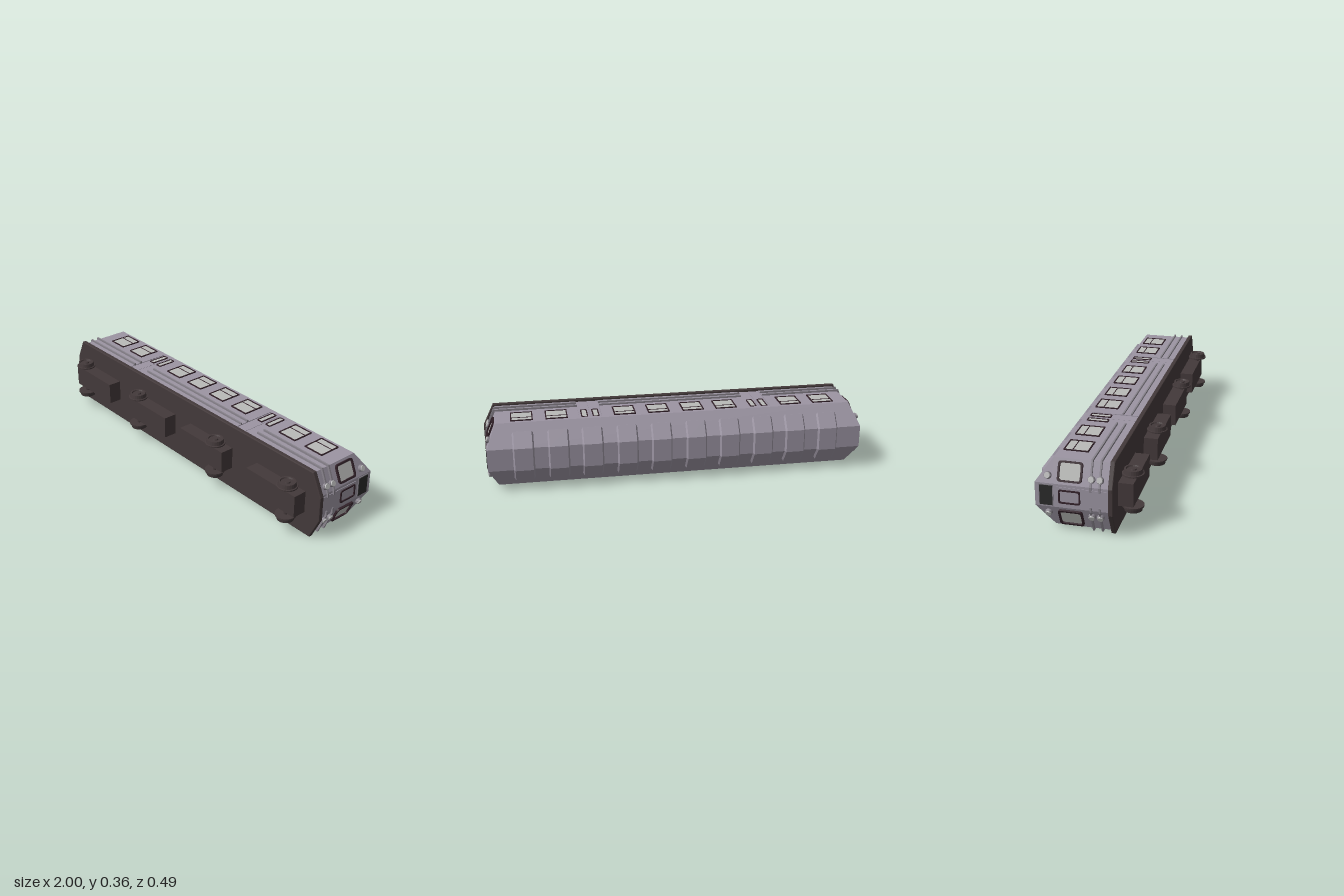
import * as THREE from 'three';

const mat = (color, side = THREE.FrontSide) => new THREE.MeshStandardMaterial({ color, side });
const BODY = mat(0x9c95a3), RIB = mat(0x88838c), DARK = mat(0x43393a), FRAME = mat(0x33222a),
  GLASS = mat(0xb9bab8), SIGN = mat(0x2b2b2b), LAMP = mat(0xb8b8b8);

// Key sizes: x is length, y is height, z is width (the car is laid on its side at the end)
const X1 = 0.982, X2 = 0.935, Z1 = 0.058, Z2 = 0.169;
const DOOR_X = 0.448, DOOR_W = 0.118, FLOOR = -0.113, DOOR_TOP = 0.13, EAVE = 0.152, TOP = 0.232;
const BAYS = [0.091, 0.269, 0.448, 0.622, 0.8];

function add(parent, name, geometry, material, x = 0, y = 0, z = 0) {
  const mesh = new THREE.Mesh(geometry, material);
  mesh.name = name;
  mesh.position.set(x, y, z);
  parent.add(mesh);
  return mesh;
}

const box = (w, h, d) => new THREE.BoxGeometry(w, h, d);

// Plan outline of [x, z] points extruded from height y0 to y1
function slab(points, y0, y1, bevel = 0) {
  const shape = new THREE.Shape(points.map(([x, z]) => new THREE.Vector2(x, -z)));
  return new THREE.ExtrudeGeometry(shape, {
    depth: y1 - y0 - 2 * bevel, bevelEnabled: bevel > 0, bevelSize: bevel,
    bevelThickness: bevel, bevelOffset: -bevel, bevelSegments: 2,
  }).rotateX(-Math.PI / 2).translate(0, y0 + bevel, 0);
}

const octagon = (x1, x2, z1, z2) => [[x1, -z1], [x1, z1], [x2, z2], [-x2, z2],
  [-x1, z1], [-x1, -z1], [-x2, -z2], [x2, -z2]];

function roundRect(path, w, h, r) {
  const x = w / 2, y = h / 2;
  path.moveTo(-x + r, -y);
  path.lineTo(x - r, -y).quadraticCurveTo(x, -y, x, -y + r);
  path.lineTo(x, y - r).quadraticCurveTo(x, y, x - r, y);
  path.lineTo(-x + r, y).quadraticCurveTo(-x, y, -x, y - r);
  path.lineTo(-x, -y + r).quadraticCurveTo(-x, -y, -x + r, -y);
  return path;
}

// Framed window lying on a wall, facing the panel's +z
function windowOn(panel, name, x, y, w, h, border, radius, depth, frameMat = FRAME) {
  const shape = roundRect(new THREE.Shape(), w, h, radius);
  shape.holes.push(roundRect(new THREE.Path(), w - 2 * border, h - 2 * border, radius * 0.7));
  add(panel, name + 'Frame', new THREE.ExtrudeGeometry(shape, { depth, bevelEnabled: false, curveSegments: 4 }),
    frameMat, x, y, 0);
  add(panel, name + 'Glass', box(w - border, h - border, 0.004), GLASS, x, y, 0);
}

// Group whose +z points out of a wall
function wallPanel(parent, name, x, z, angle) {
  const g = new THREE.Group();
  g.name = name;
  g.position.set(x, 0, z);
  g.rotation.y = angle;
  parent.add(g);
  return g;
}

function lamp(panel, x, y) {
  const rim = add(panel, 'lampRim', new THREE.CylinderGeometry(0.016, 0.018, 0.014, 16), RIB, x, y, 0.005);
  const lens = add(panel, 'lampLens', new THREE.CylinderGeometry(0.013, 0.015, 0.006, 16), LAMP, x, y, 0.014);
  rim.rotation.x = lens.rotation.x = Math.PI / 2;
}

function buildShell(car) {
  // Lower walls with a notch per doorway; one doorway stands open
  const a = DOOR_W / 2, notch = (x, z, inner, dir) =>
    [[x + dir * a, z], [x + dir * a, inner], [x - dir * a, inner], [x - dir * a, z]];
  const plan = [[X1, -Z1], [X1, Z1], [X2, Z2],
    ...notch(DOOR_X, Z2, 0.16, 1), ...notch(-DOOR_X, Z2, 0.16, 1),
    [-X2, Z2], [-X1, Z1], [-X1, -Z1], [-X2, -Z2],
    ...notch(-DOOR_X, -Z2, 0.12, -1), ...notch(DOOR_X, -Z2, -0.16, -1), [X2, -Z2]];
  add(car, 'walls', slab(plan, FLOOR, DOOR_TOP), BODY);
  add(car, 'eaves', slab(octagon(X1, X2, Z1, Z2), DOOR_TOP, EAVE), BODY);
  add(car, 'floorPlate', slab(octagon(1, 0.945, 0.065, 0.18), -0.136, FLOOR, 0.004), DARK);

  // Faceted roof, its ends following the bevelled plan
  const poly = (pts) => new THREE.Shape(pts.map((p) => new THREE.Vector2(...p)));
  const roof = new THREE.ExtrudeGeometry([
    poly([[-Z2, EAVE], [-Z1, EAVE], [-Z1, TOP]]),
    poly([[-Z1, EAVE], [Z1, EAVE], [Z1, TOP], [-Z1, TOP]]),
    poly([[Z1, EAVE], [Z2, EAVE], [Z1, TOP]]),
  ], { depth: 2, bevelEnabled: false }).translate(0, 0, -1).rotateY(Math.PI / 2);
  const p = roof.attributes.position;
  for (let i = 0; i < p.count; i++) {
    p.setX(i, Math.sign(p.getX(i)) * (Math.abs(p.getZ(i)) > 0.1 ? X2 : X1));
  }
  roof.computeVertexNormals();
  add(car, 'roof', roof, BODY);

  // Raised roof panels, one above each bay
  const hump = poly([[-0.125, 0.165], [0.125, 0.165], [0.133, 0.19], [0.06, 0.243], [-0.06, 0.243], [-0.133, 0.19]]);
  const humpGeo = new THREE.ExtrudeGeometry(hump, {
    depth: 0.092, bevelSize: 0.01, bevelOffset: -0.01, bevelThickness: 0.008, bevelSegments: 1,
  }).translate(0, 0, -0.046).rotateY(Math.PI / 2);
  for (const x of BAYS) for (const s of [-1, 1]) add(car, 'roofPanel', humpGeo, BODY, s * x);
}

function buildSides(car) {
  for (const sz of [-1, 1]) {
    const side = wallPanel(car, 'side', 0, sz * Z2, sz > 0 ? 0 : Math.PI);
    for (const x of BAYS) for (const sx of [-1, 1]) {
      if (x !== DOOR_X) {
        windowOn(side, 'sideWindow', sx * x, 0.073, 0.114, 0.12, 0.006, 0.004, 0.005);
        add(side, 'windowSash', box(0.104, 0.004, 0.004), FRAME, sx * x, 0.09, 0.002);
      } else if (sz > 0 || sx < 0) {
        // Double sliding door in its recess
        const door = new THREE.Group();
        door.name = 'door';
        door.position.set(sx * x, 0, -0.007);
        side.add(door);
        for (const s of [-1, 1]) {
          add(door, 'doorLeaf', box(0.057, DOOR_TOP - FLOOR, 0.008), BODY, s * 0.0295, (DOOR_TOP + FLOOR) / 2, 0);
          windowOn(wallPanel(door, 'doorWindow', s * 0.0295, 0.004, 0), 'doorWindow', 0, 0.075, 0.035, 0.108, 0.006, 0.008, 0.004);
        }
      }
    }
    // Rub rails, broken at the doors and wrapped round the corners
    const xs = DOOR_X + DOOR_W / 2, xi = DOOR_X - DOOR_W / 2;
    for (const y of [-0.072, -0.03]) {
      add(car, 'middleRail', slab([[-xi, sz * 0.165], [xi, sz * 0.165], [xi, sz * 0.178], [-xi, sz * 0.178]], y - 0.004, y + 0.004), RIB);
      for (const sx of [-1, 1]) {
        const rail = [[xs, 0.165], [0.93, 0.165], [0.978, 0.056], [0.978, 0.038],
          [0.991, 0.038], [0.991, 0.062], [0.943, 0.179], [xs, 0.179]];
        add(car, 'cornerRail', slab(rail.map(([x, z]) => [sx * x, sz * z]), y - 0.004, y + 0.004), RIB);
      }
    }
  }
}

function buildEnds(car) {
  for (const sx of [-1, 1]) {
    // Flat centre: end door, window and destination panel
    const end = wallPanel(car, 'end', sx * X1, 0, sx * Math.PI / 2);
    add(end, 'endDoor', box(0.09, 0.242, 0.006), BODY, 0, 0.008, 0);
    windowOn(end, 'endWindow', 0, 0.069, 0.068, 0.102, 0.007, 0.01, 0.008);
    add(end, 'signFrame', box(0.106, 0.068, 0.006), RIB, 0, 0.179, 0);
    add(end, 'signPanel', box(0.098, 0.06, 0.006), SIGN, 0, 0.179, 0.002);
    // Angled corners: cab window and lamps
    for (const sz of [-1, 1]) {
      const nx = sx * (Z2 - Z1), nz = sz * (X1 - X2);
      const corner = wallPanel(car, 'corner', sx * (X1 + X2) / 2, sz * (Z1 + Z2) / 2, Math.atan2(nx, nz));
      windowOn(corner, 'cabWindow', 0, 0.069, 0.096, 0.115, 0.009, 0.016, 0.01);
      for (const y of [-0.072, -0.032, 0.172]) lamp(corner, sx * sz * 0.024, y);
    }
  }
}

function buildRunningGear(car) {
  // Wheel profile: back face, flange, tread, recessed face and hub
  const profile = [[0, 0], [0.052, 0], [0.052, 0.007], [0.046, 0.008], [0.042, 0.028], [0.034, 0.028],
    [0.031, 0.022], [0.016, 0.022], [0.014, 0.028], [0, 0.028]];
  const points = profile.map((q) => new THREE.Vector2(...q));
  const wheelMat = DARK.clone();
  wheelMat.flatShading = true;
  const wheelGeo = new THREE.LatheGeometry(points, 24).rotateX(Math.PI / 2);
  for (const sx of [-1, 1]) {
    for (const [boxX, wheelX] of [[0.23, 0.324], [0.741, 0.837]]) {
      add(car, 'underfloorBox', box(0.33, 0.073, 0.116), DARK, sx * boxX, -0.171, 0);
      add(car, 'axle', new THREE.CylinderGeometry(0.011, 0.011, 0.18, 12).rotateX(Math.PI / 2), DARK, sx * wheelX, -0.19, 0);
      for (const sz of [-1, 1]) {
        const wheel = add(car, 'wheel', wheelGeo, wheelMat, sx * wheelX, -0.19, sz * 0.077);
        if (sz < 0) wheel.rotation.y = Math.PI;
      }
    }
  }
}

export function createModel() {
  const model = new THREE.Group();
  model.name = 'railCar';
  const car = new THREE.Group();
  car.name = 'car';
  buildShell(car);
  buildSides(car);
  buildEnds(car);
  buildRunningGear(car);
  // Lay the car on its side: roof to -z, wheels to +z
  car.rotation.x = -Math.PI / 2;
  car.position.y = 0.18;
  model.add(car);
  return model;
}
